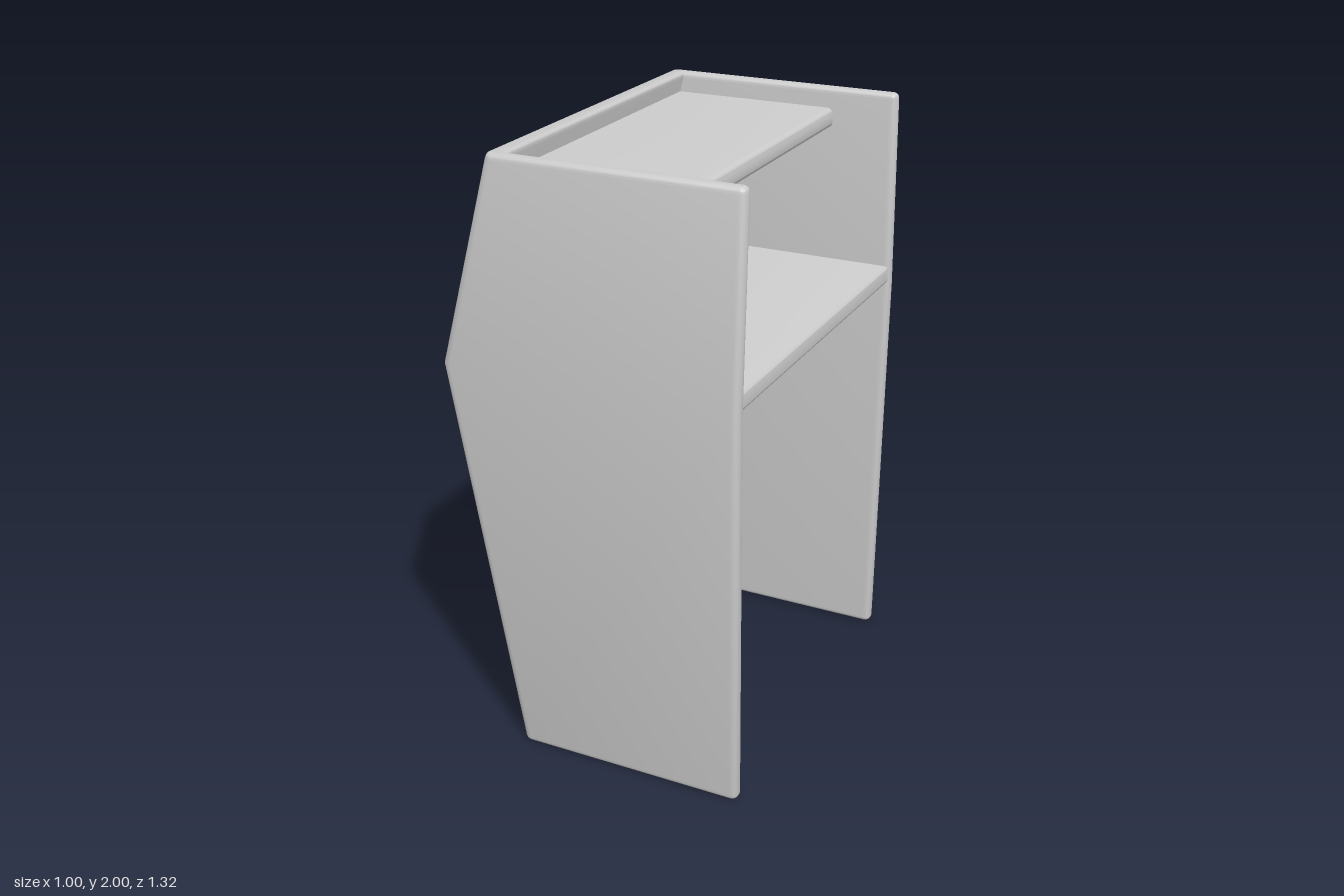
import * as THREE from 'three';
import { toCreasedNormals } from 'three/addons/utils/BufferGeometryUtils.js';

const material = new THREE.MeshStandardMaterial({ color: 0xcccccc });
const STEPS = 5; // segments per rounded edge
const FRONT_X = 0.495;

// Key heights: outer back x, inner back x, outer half width, inner half width
const KEYS = [
  { y: 0, v: [-0.28, -0.225, 0.632, 0.58] },
  { y: 1.33, v: [-0.5, -0.445, 0.66, 0.608] },
  { y: 2, v: [-0.332, -0.275, 0.632, 0.582] },
];

function profileAt(y) {
  const [a, b] = y < KEYS[1].y ? [KEYS[0], KEYS[1]] : [KEYS[1], KEYS[2]];
  const t = (y - a.y) / (b.y - a.y);
  return a.v.map((n, i) => THREE.MathUtils.lerp(n, b.v[i], t));
}

// Closed U-shaped ring at height y, its wall thinned by inset on each face
function ringAt(y, inset) {
  let [xo, xi, wo, wi] = profileAt(y);
  xo += inset * 0.4; xi -= inset;
  wo -= inset; wi += inset;
  const xf = FRONT_X - inset;
  const b = 0.022 - inset, r = 0.03 - inset;
  const outer = [], inner = [];
  for (let i = 0; i <= STEPS; i++) { // rounded free edge of the side wall
    const a = (i / STEPS) * Math.PI / 2, c = Math.cos(a), s = Math.sin(a);
    outer.push([xf - b + b * c, wo - b + b * s]);
    inner.push([xf - b + b * c, wi + b - b * s]);
  }
  for (let i = 0; i <= STEPS; i++) { // rounded outer corner, sharp inner corner
    const a = (1 + i / STEPS) * Math.PI / 2;
    outer.push([xo + r + r * Math.cos(a), wo - r + r * Math.sin(a)]);
    inner.push([xi, wi]);
  }
  const mirrored = (list) => list.concat([...list].reverse().map(([x, z]) => [x, -z]));
  const ring = mirrored(outer).concat(mirrored(inner).reverse());
  return ring.map(([x, z]) => new THREE.Vector3(x, y, z));
}

// Folded three-sided wall with rounded rims
function shellGeometry() {
  const rim = 0.018, rings = [];
  const arc = [];
  for (let i = 0; i <= STEPS; i++) {
    const a = (i / STEPS) * Math.PI / 2;
    arc.push([rim * (1 - Math.sin(a)), rim * (1 - Math.cos(a))]); // height from rim end, inset
  }
  arc.forEach(([h, d]) => rings.push(ringAt(h, rim - (rim - d) * 1 > 0 ? d : 0)));
  rings.reverse(); // arc runs from the straight wall to the rim
  rings.sort((p, q) => p[0].y - q[0].y);
  rings.push(ringAt(KEYS[1].y, 0));
  arc.forEach(([h, d]) => rings.push(ringAt(2 - h, d)));

  const pos = [];
  const tri = (a, b, c) => {
    const area = b.clone().sub(a).cross(c.clone().sub(a)).length();
    if (area > 1e-9) for (const p of [a, b, c]) pos.push(p.x, p.y, p.z);
  };
  const n = rings[0].length;
  for (let k = 0; k < rings.length - 1; k++) {
    const lo = rings[k], hi = rings[k + 1];
    for (let i = 0; i < n; i++) {
      const j = (i + 1) % n;
      tri(lo[i], hi[i], lo[j]);
      tri(lo[j], hi[i], hi[j]);
    }
  }
  // Flat strips closing the top and bottom of the wall
  const top = rings[rings.length - 1], bottom = rings[0];
  for (let i = 0; i < n / 2 - 1; i++) {
    const j = i + 1, io = n - 1 - i, jo = n - 1 - j;
    tri(top[i], top[io], top[j]);
    tri(top[j], top[io], top[jo]);
    tri(bottom[i], bottom[j], bottom[io]);
    tri(bottom[j], bottom[jo], bottom[io]);
  }
  const g = new THREE.BufferGeometry();
  g.setAttribute('position', new THREE.Float32BufferAttribute(pos, 3));
  return toCreasedNormals(g, 0.36);
}

// Board with a rounded front edge, running across between the side walls
function shelf(name, x0, x1, y0, y1, halfWidth, r) {
  const s = new THREE.Shape();
  s.moveTo(x0, y0);
  s.lineTo(x1 - r, y0);
  s.absarc(x1 - r, y0 + r, r, -Math.PI / 2, 0, false);
  s.absarc(x1 - r, y1 - r, r, 0, Math.PI / 2, false);
  s.lineTo(x0, y1);
  s.closePath();
  const g = new THREE.ExtrudeGeometry(s, { depth: halfWidth * 2, bevelEnabled: false, curveSegments: 6 });
  g.translate(0, 0, -halfWidth);
  const mesh = new THREE.Mesh(toCreasedNormals(g, 0.5), material);
  mesh.name = name;
  return mesh;
}

export function createModel() {
  const group = new THREE.Group();
  group.name = 'lectern';
  const shell = new THREE.Mesh(shellGeometry(), material);
  shell.name = 'foldedShell';
  group.add(
    shell,
    shelf('lowerShelf', -0.46, 0.488, 1.335, 1.4, 0.622, 0.015),
    shelf('upperShelf', -0.32, 0.275, 1.865, 1.932, 0.602, 0.02),
  );
  return group;
}
